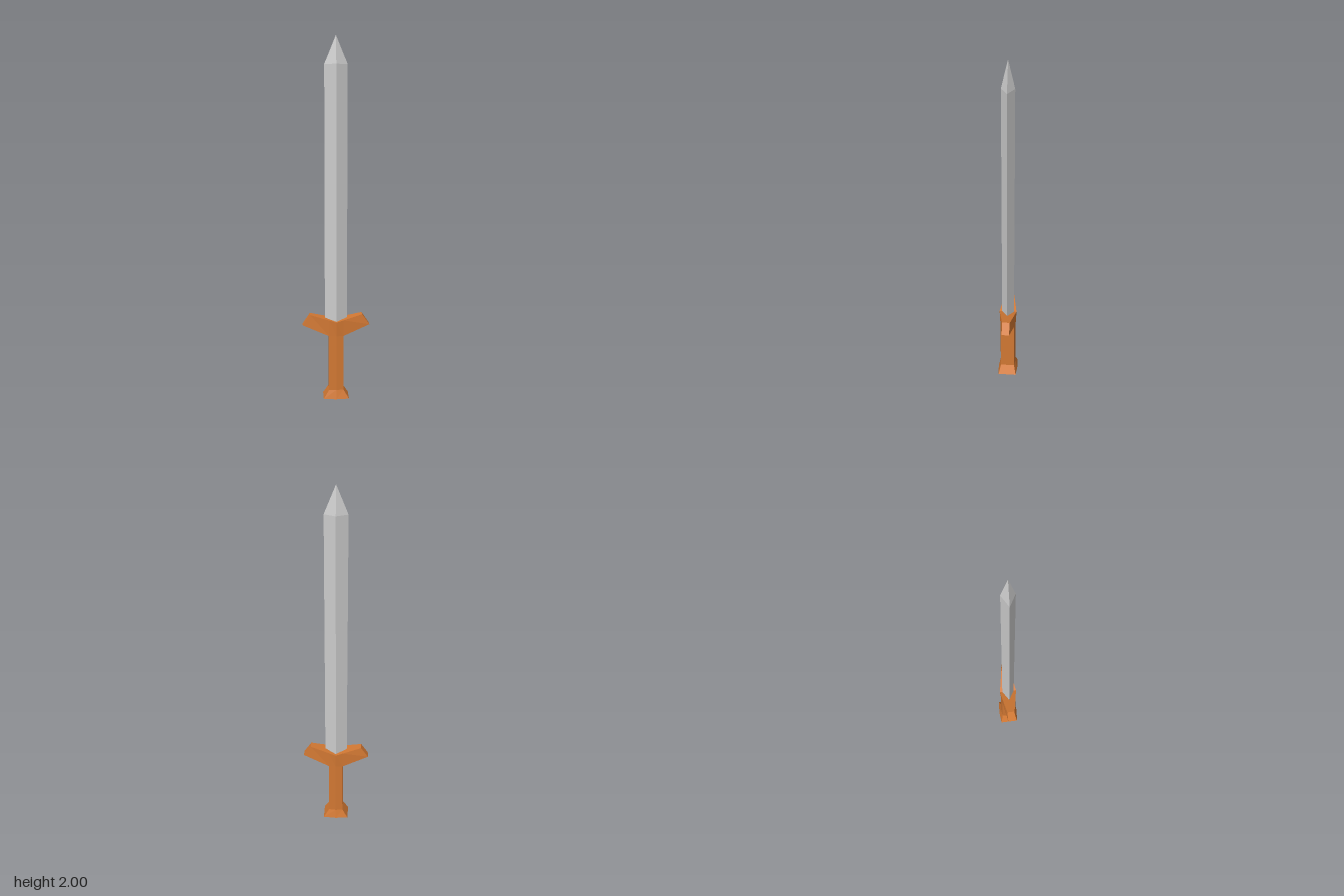
import * as THREE from 'three';

// Flat-shaded skin over closed rings of points, capped at both ends.
// Rings run counter-clockwise as seen from the end they advance towards.
function loft(rings) {
  const pos = [];
  const tri = (a, b, c) => {
    if (new THREE.Triangle(a, b, c).getArea() > 1e-8) {
      for (const p of [a, b, c]) pos.push(p.x, p.y, p.z);
    }
  };
  const n = rings[0].length;
  for (let i = 0; i < rings.length - 1; i++) {
    for (let j = 0; j < n; j++) {
      const k = (j + 1) % n;
      tri(rings[i][j], rings[i][k], rings[i + 1][k]);
      tri(rings[i][j], rings[i + 1][k], rings[i + 1][j]);
    }
  }
  const first = rings[0], last = rings[rings.length - 1];
  for (let j = 1; j < n - 1; j++) {
    tri(first[0], first[j + 1], first[j]);
    tri(last[0], last[j], last[j + 1]);
  }
  const geometry = new THREE.BufferGeometry();
  geometry.setAttribute('position', new THREE.Float32BufferAttribute(pos, 3));
  geometry.computeVertexNormals();
  return geometry;
}

const v = (x, y, z) => new THREE.Vector3(x, y, z);

// Diamond section of the blade
const diamond = (y, w, d) => [v(w, y, 0), v(0, y, -d), v(-w, y, 0), v(0, y, d)];

// Six-sided section of the grip: w half width, e depth at the sides, c depth in the middle
const hexagon = (y, w, e, c) => [
  v(w, y, e), v(w, y, -e), v(0, y, -c), v(-w, y, -e), v(-w, y, e), v(0, y, c),
];

// Four-cornered section of the crossguard, from its lower and upper edge
const guardSection = (side, [xb, yb, zb, xt, yt, zt]) => [
  v(side * xb, yb, zb), v(side * xb, yb, -zb), v(side * xt, yt, -zt), v(side * xt, yt, zt),
];

export function createModel() {
  const group = new THREE.Group();
  const steel = new THREE.MeshStandardMaterial({ color: 0xcccccc, flatShading: true });
  const bronze = new THREE.MeshStandardMaterial({ color: 0xd27833, flatShading: true });
  const add = (name, rings, material) => {
    const mesh = new THREE.Mesh(loft(rings), material);
    mesh.name = name;
    group.add(mesh);
  };

  // Blade with its pointed tip
  add('blade', [
    diamond(0.44, 0.062, 0.035),
    diamond(1.85, 0.062, 0.035),
    diamond(2, 0, 0),
  ], steel);

  // Grip flaring out into the pommel
  add('grip', [
    hexagon(0, 0.071, 0.052, 0.058),
    hexagon(0.05, 0.04, 0.04, 0.045),
    hexagon(0.37, 0.04, 0.04, 0.045),
  ], bronze);

  // Crossguard with raised, tapering arms
  const middle = [0, 0.365, 0.046, 0, 0.445, 0.05];
  const root = [0.04, 0.365, 0.041, 0.04, 0.4555, 0.0423];
  const end = [0.186, 0.424, 0.021, 0.145, 0.483, 0.022];
  add('crossguard', [
    guardSection(-1, end),
    guardSection(-1, root),
    guardSection(1, middle),
    guardSection(1, root),
    guardSection(1, end),
  ], bronze);

  return group;
}
